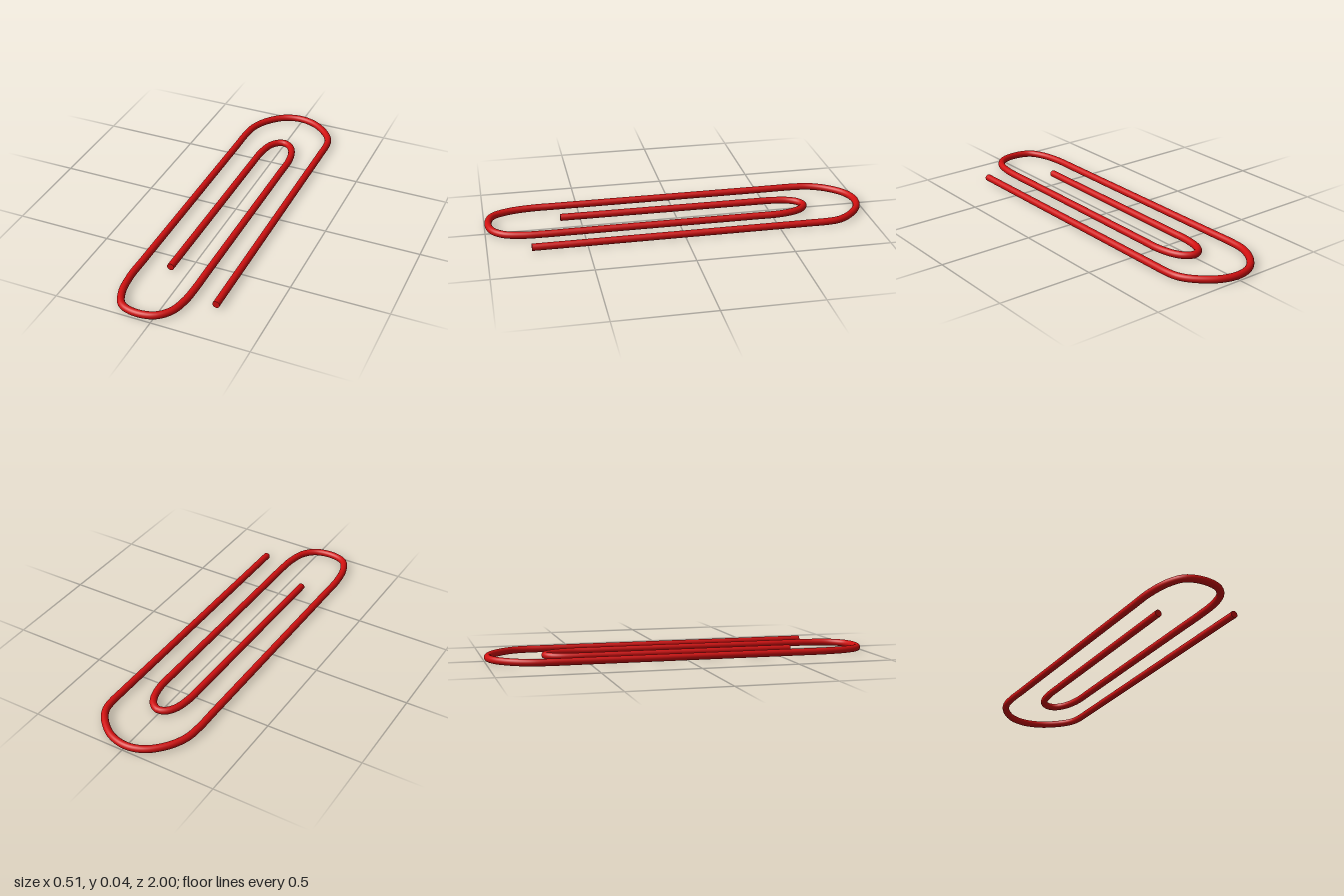
import * as THREE from 'three';

const RADIUS = 0.0185;

// Centre line of the bent wire as [x, z], from the outer end to the inner end
const PATH = [
  [0.234, 0.78], [0.234, 0.3], [0.234, -0.3], [0.234, -0.65], [0.233, -0.76],
  // wide back bend
  [0.222, -0.82], [0.18, -0.886], [0.088, -0.959], [-0.01, -0.982],
  [-0.1, -0.957], [-0.18, -0.88], [-0.224, -0.79], [-0.235, -0.7],
  [-0.235, -0.55], [-0.235, 0], [-0.235, 0.6], [-0.234, 0.75],
  // front bend
  [-0.213, 0.875], [-0.17, 0.953], [-0.09, 0.98], [0.005, 0.963],
  [0.062, 0.905], [0.088, 0.81], [0.094, 0.7],
  [0.094, 0.55], [0.095, 0], [0.096, -0.4], [0.095, -0.53],
  // narrow inner bend
  [0.075, -0.62], [0.045, -0.669], [0.005, -0.69], [-0.035, -0.674],
  [-0.064, -0.63], [-0.081, -0.54], [-0.083, -0.42],
  [-0.085, 0], [-0.088, 0.605],
];

export function createModel() {
  const group = new THREE.Group();
  group.name = 'paperClip';
  const red = new THREE.MeshStandardMaterial({ color: 0xd01010 });
  red.name = 'red';

  // Wire
  const curve = new THREE.CatmullRomCurve3(
    PATH.map(([x, z]) => new THREE.Vector3(x, RADIUS, z)), false, 'centripetal');
  curve.arcLengthDivisions = 1500;
  const wire = new THREE.Mesh(new THREE.TubeGeometry(curve, 420, RADIUS, 20), red);
  wire.name = 'wire';
  group.add(wire);

  // Flat cut ends, both facing the front
  [['outerEnd', PATH[0]], ['innerEnd', PATH[PATH.length - 1]]].forEach(([name, [x, z]]) => {
    const cap = new THREE.Mesh(new THREE.CircleGeometry(RADIUS, 20), red);
    cap.name = name;
    cap.position.set(x, RADIUS, z);
    group.add(cap);
  });
  return group;
}
